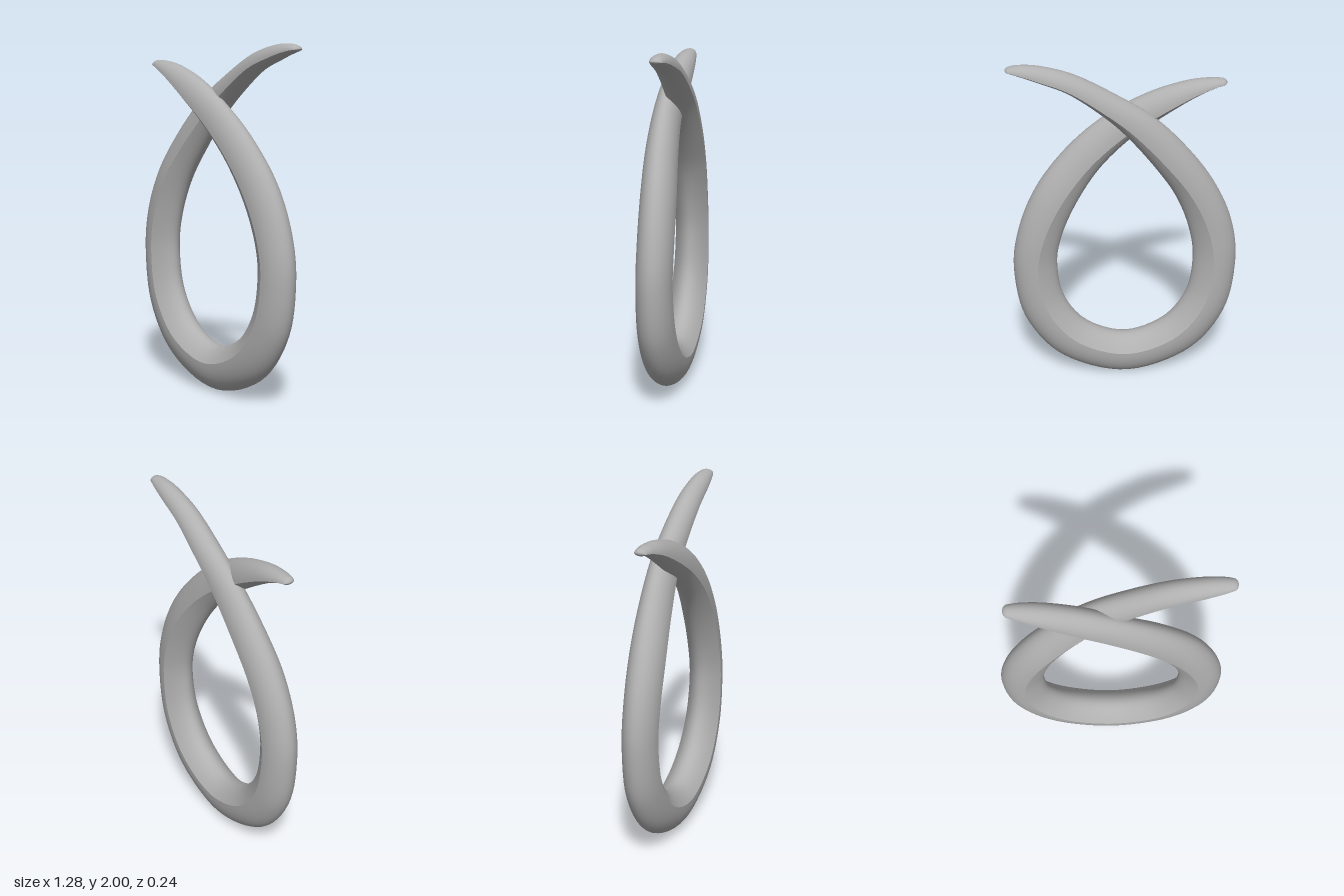
import * as THREE from 'three';

// Stations: outer x, outer y, inner x, inner y, centre z, half depth, crease position (0 inner, 1 outer)
const base = [0, 0, 0, 0.26, 0, 0.11, 0.33];
const lower = [
  [0.37, 0.127, 0.22, 0.343, 0, 0.11, 0.36],
  [0.58, 0.4, 0.353, 0.526, 0, 0.105, 0.41],
  [0.638, 0.73, 0.39, 0.75, 0, 0.1, 0.44],
];
const frontArm = [
  [0.6, 1.0, 0.36, 0.94, 0, 0.1, 0.42],
  [0.49, 1.26, 0.27, 1.15, 0.008, 0.098, 0.38],
  [0.31, 1.49, 0.14, 1.35, 0.025, 0.09, 0.33],
  [0.1, 1.665, -0.03, 1.52, 0.037, 0.08, 0.28],
  [-0.12, 1.785, -0.2, 1.645, 0.032, 0.08, 0.26],
  [-0.32, 1.85, -0.37, 1.755, 0.027, 0.068, 0.25],
  [-0.46, 1.868, -0.48, 1.81, 0.023, 0.05, 0.25],
  [-0.55, 1.863, -0.555, 1.83, 0.02, 0.03, 0.3],
];
const backArm = [
  [-0.605, 1.0, -0.365, 0.95, 0, 0.1, 0.42],
  [-0.5, 1.25, -0.285, 1.17, -0.008, 0.1, 0.38],
  [-0.34, 1.48, -0.16, 1.37, -0.025, 0.092, 0.33],
  [-0.15, 1.68, 0, 1.575, -0.04, 0.08, 0.28],
  [0.06, 1.82, 0.14, 1.71, -0.042, 0.077, 0.26],
  [0.27, 1.935, 0.31, 1.835, -0.04, 0.07, 0.25],
  [0.45, 1.99, 0.47, 1.905, -0.04, 0.06, 0.25],
  [0.57, 2.0, 0.575, 1.945, -0.04, 0.045, 0.28],
  [0.635, 1.988, 0.638, 1.965, -0.04, 0.028, 0.3],
];

const RINGS = 240;
const SIDES = 20;

// Sweeps one open strip of the cross-section along the loop
function sweep(curves, section) {
  const [outer, inner, size] = curves;
  const pos = [], index = [];
  for (let i = 0; i <= RINGS; i++) {
    const t = 0.5 - 0.5 * Math.cos((Math.PI * i) / RINGS);
    const o = outer.getPoint(t), n = inner.getPoint(t), s = size.getPoint(t);
    // rounded ends
    const d = Math.min(1, Math.min(t, 1 - t) / 0.012);
    const k = Math.sqrt(Math.max(0, 1 - (1 - d) ** 2));
    for (let j = 0; j <= SIDES; j++) {
      const [u, w] = section(j / SIDES, s.y);
      const v = 0.5 + (u - 0.5) * k;
      pos.push(n.x + (o.x - n.x) * v, n.y + (o.y - n.y) * v, o.z + w * s.x * k);
      if (i < RINGS && j < SIDES) {
        const a = i * (SIDES + 1) + j, b = a + SIDES + 1;
        index.push(a, b, a + 1, b, b + 1, a + 1);
      }
    }
  }
  const geometry = new THREE.BufferGeometry();
  geometry.setAttribute('position', new THREE.Float32BufferAttribute(pos, 3));
  geometry.setIndex(index);
  geometry.computeVertexNormals();
  return geometry;
}

// Half ellipse from the front crease round the outside to the back crease
const outerSection = (q, c) => [
  c + (1 - c) * Math.sin(Math.PI * q),
  Math.sign(0.5 - q) * Math.abs(Math.cos(Math.PI * q)) ** 1.05,
];

// Shallow bulge from the back crease across the inside to the front crease
const innerSection = (q, c) => {
  const w = 2 * q - 1;
  return [c * w * w, w];
};

export function createModel() {
  const group = new THREE.Group();
  group.name = 'crossedLoop';
  const grey = new THREE.MeshStandardMaterial({ color: 0xb0b0b0 });
  grey.name = 'grey';

  const mirrored = lower.map(([ox, oy, ix, iy, ...rest]) => [-ox, oy, -ix, iy, ...rest]);
  const stations = [...[...lower, ...frontArm].reverse(), base, ...mirrored, ...backArm];
  const curve = (pick) => new THREE.CatmullRomCurve3(
    stations.map((s) => new THREE.Vector3(...pick(s))), false, 'catmullrom', 0.5);
  const curves = [
    curve((s) => [s[0], s[1], s[4]]),
    curve((s) => [s[2], s[3], 0]),
    curve((s) => [s[5], s[6], 0]),
  ];

  for (const [name, section] of [['outerSurface', outerSection], ['innerSurface', innerSection]]) {
    const mesh = new THREE.Mesh(sweep(curves, section), grey);
    mesh.name = name;
    group.add(mesh);
  }
  return group;
}
